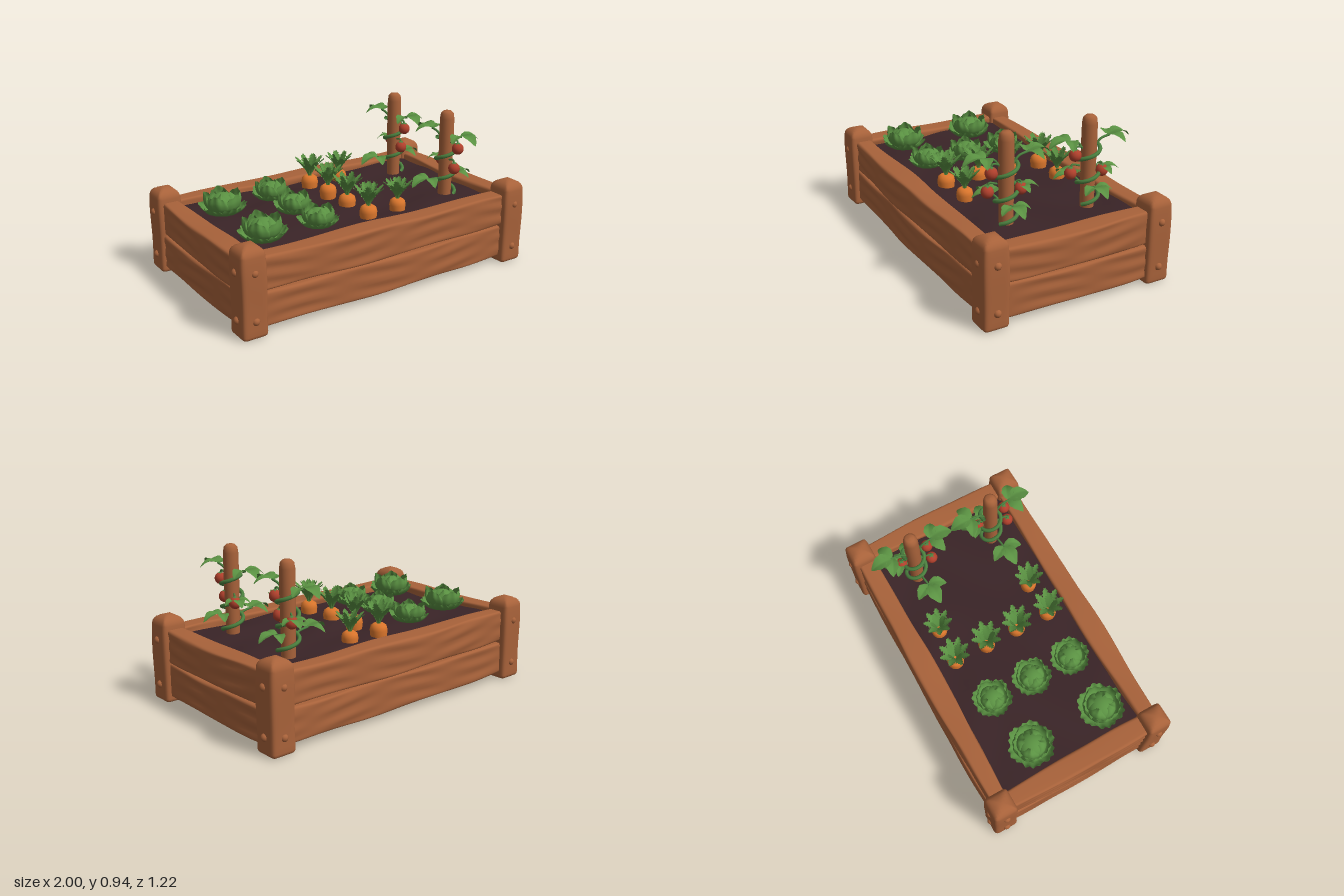
import * as THREE from 'three';
import { mergeVertices } from 'three/addons/utils/BufferGeometryUtils.js';
import { ParametricGeometry } from 'three/addons/geometries/ParametricGeometry.js';

const mat = (name, color, side = THREE.FrontSide) => {
  const m = new THREE.MeshStandardMaterial({ color, side });
  m.name = name;
  return m;
};
const { sin, cos, PI, abs, sign, max } = Math;

export function createModel() {
  const wood = mat('wood', 0xa8623a);
  const soil = mat('soil', 0x3a2427);
  const leafGreen = mat('leaf green', 0x5a9142, THREE.DoubleSide);
  const vineGreen = mat('vine green', 0x4c8240, THREE.DoubleSide);
  const orange = mat('carrot orange', 0xdb762c);
  const red = mat('tomato red', 0xb0402c);
  const model = new THREE.Group();
  model.name = 'raisedGardenBed';

  const add = (parent, name, geo, material, x = 0, y = 0, z = 0) => {
    const m = new THREE.Mesh(geo, material);
    m.name = name;
    m.position.set(x, y, z);
    parent.add(m);
    return m;
  };
  const group = (parent, name, x = 0, y = 0, z = 0) => {
    const g = new THREE.Group();
    g.name = name;
    g.position.set(x, y, z);
    parent.add(g);
    return g;
  };

  // Box with rounded edges, then bent by a rule
  function softBox(size, segs, r, warp) {
    const geo = new THREE.BoxGeometry(...size, ...segs);
    geo.deleteAttribute('uv');
    geo.deleteAttribute('normal');
    const pos = geo.attributes.position;
    const p = new THREE.Vector3(), core = new THREE.Vector3();
    const half = new THREE.Vector3(...size).multiplyScalar(0.5);
    for (let i = 0; i < pos.count; i++) {
      p.fromBufferAttribute(pos, i);
      for (let k = 0; k < 3; k++) {
        const h = half.getComponent(k), n = segs[k];
        const j = Math.round((p.getComponent(k) / (2 * h) + 0.5) * n);
        const e = Math.min(j, n - j);
        const s = j < n / 2 ? -1 : 1;
        const v = e === 0 ? s * h : e === 1 ? s * (h - r * 0.5)
          : -(h - r) + 2 * (h - r) * (j - 2) / (n - 4);
        p.setComponent(k, v);
        core.setComponent(k, THREE.MathUtils.clamp(v, r - h, h - r));
      }
      p.sub(core);
      if (p.lengthSq() > 0) p.setLength(r);
      p.add(core);
      warp(p, half);
      pos.setXYZ(i, p.x, p.y, p.z);
    }
    const out = mergeVertices(geo, 1e-5);
    out.computeVertexNormals();
    return out;
  }

  // Wavy wooden planks, two on each side
  function plank(name, len, h, seed) {
    const geo = softBox([len, h, 0.105], [44, 18, 6], 0.016, (p, half) => {
      const t = p.x / half.x;
      const grain = 0.004 * sin(p.y * 75 + 2 * sin(p.x * 4 + seed) + seed) * sin(p.x * 6 + seed * 2)
        + 0.004 * sin(p.x * 5 + seed);
      p.z += (p.z / half.z) * (grain + 0.012 * (1 - t * t));
      p.y += (p.y / half.y) * 0.004 * sin(p.x * 8 + seed * 3) - (p.y < 0 ? 0.006 * (1 - t * t) : 0);
    });
    return add(model, name, geo, wood);
  }
  [[0.14, 0.2], [0.347, 0.192]].forEach(([y, h], row) => {
    for (const s of [-1, 1]) {
      const long = plank(s > 0 ? 'frontPlank' : 'backPlank', 1.72, h, row * 2 + s);
      long.position.set(0, y, s * 0.508);
      long.rotation.y = s > 0 ? 0 : PI;
      const short = plank(s > 0 ? 'leftPlank' : 'rightPlank', 0.95, h, row * 2 + s + 5);
      short.position.set(s * 0.9, y, 0);
      short.rotation.y = s * PI / 2;
    }
  });

  // Corner posts with domed tops and pegs
  const postGeo = softBox([0.156, 0.492, 0.156], [10, 18, 10], 0.025, (p, half) => {
    const m = max(abs(p.x), abs(p.z)) / half.x;
    if (p.y > half.y - 0.026) p.y += 0.036 * (1 - m * m);
    const w = 1 + 0.02 * sin(p.y * 14 + p.x * 9) - (p.y > 0.15 ? (p.y - 0.15) * 0.5 : 0);
    p.x *= w;
    p.z *= w;
  });
  const pegGeo = new THREE.SphereGeometry(0.023, 12, 8);
  for (const sx of [-1, 1]) for (const sz of [-1, 1]) {
    const post = group(model, 'cornerPost', sx * 0.906, 0, sz * 0.519);
    add(post, 'post', postGeo, wood, 0, 0.246, 0);
    for (const y of [0.105, 0.38]) {
      add(post, 'peg', pegGeo, wood, sx * 0.072, y, 0);
      add(post, 'peg', pegGeo, wood, 0, y, sz * 0.068);
    }
  }

  // Soil bed with a lumpy top
  add(model, 'soilBed', softBox([1.74, 0.365, 0.95], [40, 6, 26], 0.01, (p) => {
    if (p.y > 0.15) p.y += 0.006 * sin(p.x * 11 + 2 * sin(p.z * 7)) + 0.005 * sin(p.z * 17 + p.x * 5);
  }), soil, 0, 0.2225, 0);
  const ground = 0.405;

  // Cabbage leaf: a cupped, ruffled patch around the head
  const spline = (pts) => new THREE.CatmullRomCurve3(pts.map(([r, y]) => new THREE.Vector3(r, y, 0)));
  function cupLeaf(pts, spread, ruffle) {
    const curve = spline(pts), q = new THREE.Vector3();
    return new ParametricGeometry((u, v, t) => {
      curve.getPoint(u, q);
      const s = (v - 0.5) * 2;
      const a = s * spread * (0.6 + 0.4 * sin(PI * Math.min(1, u * 0.8 + 0.1)));
      const edge = u * u * ruffle;
      const r = q.x + edge * sin(s * 9) - 0.012 * s * s * u;
      t.set(r * sin(a), q.y * (1 - 0.22 * s * s * u) + edge * cos(s * 7), r * cos(a));
    }, 8, 14);
  }
  const outerLeaf = cupLeaf([[0.03, 0.01], [0.09, 0.02], [0.122, 0.045], [0.14, 0.075]], 0.62, 0.006);
  const middleLeaf = cupLeaf([[0.04, 0.02], [0.095, 0.05], [0.112, 0.095], [0.108, 0.142]], 0.72, 0.004);
  const innerLeaf = cupLeaf([[0.06, 0.03], [0.087, 0.07], [0.08, 0.11], [0.045, 0.14]], 0.75, 0.003);
  const headGeo = new THREE.SphereGeometry(0.08, 20, 14).scale(1, 0.85, 1);
  [[-0.685, -0.19, 1], [-0.685, 0.285, 1], [-0.325, -0.25, 0.86], [-0.325, 0.02, 0.86], [-0.325, 0.285, 0.86]]
    .forEach(([x, z, s], i) => {
      const g = group(model, 'cabbage', x, ground, z);
      g.scale.setScalar(s);
      g.rotation.y = i * 1.3;
      add(g, 'head', headGeo, leafGreen, 0, 0.068, 0);
      [[outerLeaf, 6, 0], [middleLeaf, 5, 0.4], [innerLeaf, 4, 0.9]].forEach(([geo, n, off]) => {
        for (let k = 0; k < n; k++) add(g, 'cabbageLeaf', geo, leafGreen).rotation.y = off + k * 2 * PI / n;
      });
    });

  // Carrots: orange crowns with feathery tops
  const crownGeo = new THREE.LatheGeometry([[0.036, -0.1], [0.048, -0.01], [0.053, 0.035], [0.047, 0.062],
    [0.028, 0.076], [0, 0.074]].map(([r, y]) => new THREE.Vector2(r, y)), 18);
  const frond = (reach, rise) => new ParametricGeometry((u, v, t) => {
    const s = (v - 0.5) * 2;
    const tooth = 1 + 0.35 * (Math.round(u * 14) % 2 ? -1 : 1) * (u > 0.3 ? 1 : 0);
    const w = 0.005 + 0.019 * Math.pow(sin(PI * Math.min(0.93, u * 0.9 + 0.03)), 1.3) * tooth;
    t.set(s * w, 0.07 + rise * Math.pow(u, 0.8) + 0.008 * s * s * u, 0.008 + reach * Math.pow(u, 1.35));
  }, 14, 4);
  const outerFrond = frond(0.085, 0.115), innerFrond = frond(0.045, 0.132);
  [[0, -0.325], [0, -0.11], [0, 0.1], [0, 0.32], [0.22, -0.32], [0.22, 0.31]].forEach(([x, z], i) => {
    const g = group(model, 'carrot', x, ground, z);
    g.rotation.y = i * 0.7;
    if (x > 0) g.scale.setScalar(0.93);
    add(g, 'carrotCrown', crownGeo, orange);
    for (let k = 0; k < 8; k++) add(g, 'frond', outerFrond, leafGreen).rotation.y = k * PI / 4;
    for (let k = 0; k < 4; k++) add(g, 'frond', innerFrond, leafGreen).rotation.y = 0.4 + k * PI / 2;
  });

  // Tomato plants: stake, winding vine, three-part leaves and fruit
  const stakeGeo = new THREE.LatheGeometry([[0.04, -0.05], [0.042, 0.15], [0.045, 0.35], [0.044, 0.49],
    [0.039, 0.522], [0.025, 0.537], [0, 0.54]].map(([r, y]) => new THREE.Vector2(r, y)), 18);
  const tube = (pts, r, n = 10) => new THREE.TubeGeometry(
    new THREE.CatmullRomCurve3(pts.map((p) => new THREE.Vector3(...p))), n, r, 6);
  const leaflet = new ParametricGeometry((u, v, t) => {
    const s = (v - 0.5) * 2;
    const w = 0.046 * Math.pow(sin(PI * Math.pow(u, 0.85)), 0.75) * (1 + 0.06 * sin(u * 22));
    t.set(s * w, 0.04 * sin(PI * u * 0.8) - 0.05 * u * u + 0.012 * (abs(s) - 1) * sin(PI * u), 0.14 * u);
  }, 12, 6);
  function vineLeaf(parent, angle, y, reach, lift, size) {
    const g = group(parent, 'vineLeaf', 0, y, 0);
    g.rotation.y = angle;
    add(g, 'leafStalk', tube([[0, 0, 0.045], [0, lift * 0.7, reach * 0.6], [0, lift, reach + 0.01]], 0.007), vineGreen);
    [[0, 1], [1.15, 0.8], [-1.15, 0.8]].forEach(([a, s]) => {
      const m = add(g, 'leaflet', leaflet, leafGreen, 0, lift, reach);
      m.rotation.y = a;
      m.scale.setScalar(s * size);
    });
  }
  const helix = [];
  for (let i = 0; i <= 40; i++) {
    const t = i / 40, a = t * 5 * PI + 0.5;
    helix.push([0.06 * sin(a), 0.02 + 0.345 * t, 0.064 * cos(a)]);
  }
  const vineGeo = tube(helix, 0.012, 90);
  const fruitGeo = new THREE.SphereGeometry(0.036, 14, 10);
  const calyxGeo = new THREE.ConeGeometry(0.02, 0.014, 5);
  for (const z of [-0.265, 0.265]) {
    const g = group(model, 'tomatoPlant', 0.62, ground, z);
    add(g, 'stake', stakeGeo, wood);
    add(g, 'vine', vineGeo, vineGreen);
    vineLeaf(g, 0, 0.35, 0.125, 0.055, 1);
    vineLeaf(g, PI, 0.35, 0.13, 0.05, 1);
    vineLeaf(g, -PI / 2 + 0.1, 0.1, 0.14, 0.03, 1);
    vineLeaf(g, PI / 2, 0.1, 0.075, 0.03, 0.9);
    vineLeaf(g, PI - 0.3, 0.2, 0.08, 0.02, 0.75);
    [[0.01, 0.32, 0.097], [-0.02, 0.203, 0.105], [0.03, 0.208, -0.073]].forEach(([x, y, dz]) => {
      add(g, 'tomato', fruitGeo, red, x, y, dz);
      add(g, 'calyx', calyxGeo, vineGreen, x, y + 0.037, dz);
      add(g, 'fruitStalk', tube([[x, y + 0.035, dz], [x, y + 0.05, dz * 0.9],
        [x * 0.6, y + 0.04, sign(dz) * 0.05]], 0.006, 8), vineGreen);
    });
  }
  return model;
}
